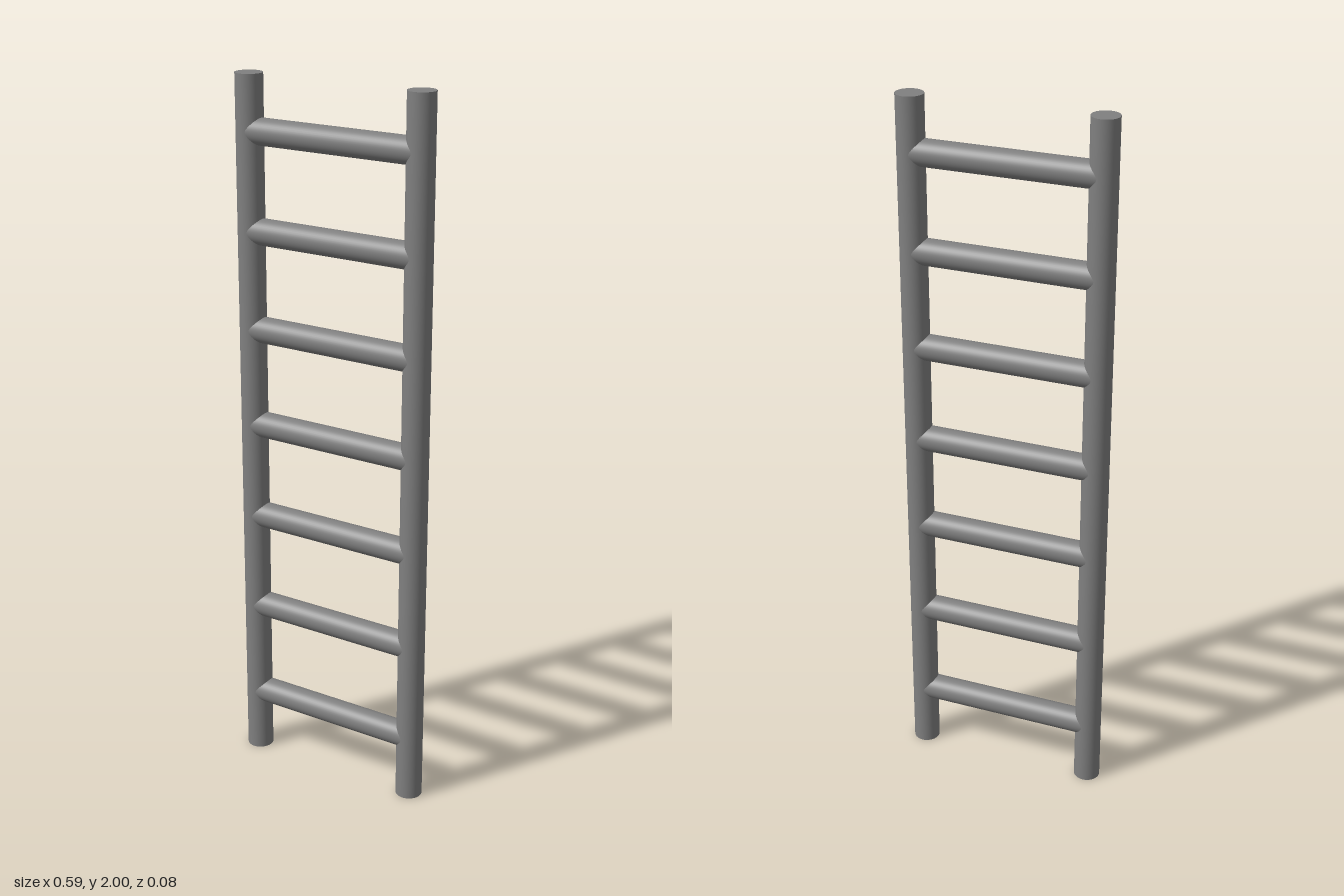
import * as THREE from 'three';

export function createModel() {
  const ladder = new THREE.Group();
  ladder.name = 'ladder';
  const metal = new THREE.MeshStandardMaterial({ color: 0x808080 });
  metal.name = 'grey metal';

  const railX = 0.258;
  const railGeometry = new THREE.CylinderGeometry(0.0375, 0.0375, 2, 48);
  const rungGeometry = new THREE.CylinderGeometry(0.0365, 0.0365, railX * 2, 48);
  rungGeometry.rotateZ(Math.PI / 2);

  const add = (name, geometry, x, y) => {
    const mesh = new THREE.Mesh(geometry, metal);
    mesh.name = name;
    mesh.position.set(x, y, 0);
    ladder.add(mesh);
  };

  // Upright rails
  add('leftRail', railGeometry, railX, 1);
  add('rightRail', railGeometry, -railX, 1);

  // Rungs, their ends buried in the rails
  [0.185, 0.47, 0.755, 1.03, 1.307, 1.581, 1.849].forEach((y, i) => add(`rung${i + 1}`, rungGeometry, 0, y));

  return ladder;
}
